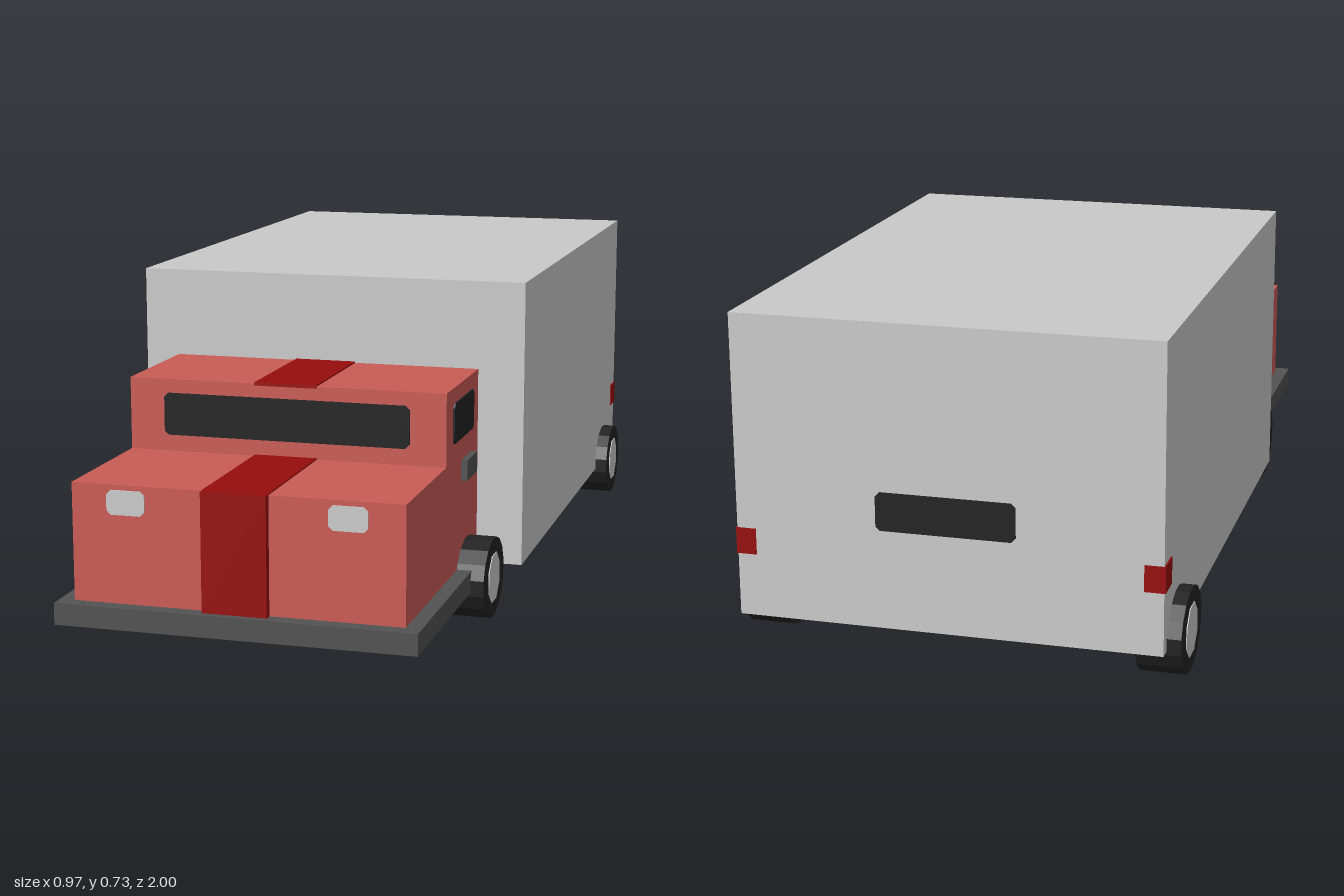
import * as THREE from 'three';

const mat = (name, color) => {
  const m = new THREE.MeshStandardMaterial({ color });
  m.name = name;
  return m;
};

export function createModel() {
  const red = mat('cab red', 0xc95b56);
  const darkRed = mat('stripe red', 0x960d0d);
  const light = mat('light grey', 0xc9c9c9);
  const grey = mat('dark grey', 0x525252);
  const black = mat('black', 0x222222);
  const blue = mat('blue', 0x3c72cb);

  const truck = new THREE.Group();
  truck.name = 'boxTruck';

  const add = (name, geometry, material, parent = truck) => {
    const m = new THREE.Mesh(geometry, material);
    m.name = name;
    parent.add(m);
    return m;
  };

  // Box given by its limits on each axis
  const box = (name, material, [x0, x1], [y0, y1], [z0, z1]) => {
    const m = add(name, new THREE.BoxGeometry(x1 - x0, y1 - y0, z1 - z0), material);
    m.position.set((x0 + x1) / 2, (y0 + y1) / 2, (z0 + z1) / 2);
    return m;
  };

  // Thin plate with chamfered corners, facing +z before rotation
  const plate = (name, material, w, h, depth = 0.006) => {
    const a = w / 2, b = h / 2, c = 0.009;
    const shape = new THREE.Shape([
      [-a + c, -b], [a - c, -b], [a, -b + c], [a, b - c],
      [a - c, b], [-a + c, b], [-a, b - c], [-a, -b + c],
    ].map(([x, y]) => new THREE.Vector2(x, y)));
    return add(name, new THREE.ExtrudeGeometry(shape, { depth, bevelEnabled: false }), material);
  };

  // Cargo body and the tray beneath it
  box('cargoBox', light, [-0.453, 0.453], [0.08, 0.732], [-1, 0.29]);
  box('underTray', blue, [-0.325, 0.325], [0.05, 0.082], [-0.91, 0.195]);

  // Running board, with hood and cabin as one stepped side profile
  box('runningBoard', grey, [-0.39, 0.39], [0.08, 0.127], [0.335, 1]);
  const profile = new THREE.Shape([
    [0.335, 0.079], [0.967, 0.079], [0.967, 0.38],
    [0.635, 0.38], [0.635, 0.54], [0.335, 0.54],
  ].map(([z, y]) => new THREE.Vector2(-z, y)));
  const cabGeo = new THREE.ExtrudeGeometry(profile, { depth: 0.714, bevelEnabled: false });
  cabGeo.translate(0, 0, -0.357).rotateY(Math.PI / 2);
  add('cab', cabGeo, red);

  // Stripe over grille, hood and roof
  box('grilleStripe', darkRed, [-0.07, 0.07], [0.127, 0.382], [0.96, 0.984]);
  box('hoodStripe', darkRed, [-0.07, 0.07], [0.376, 0.383], [0.635, 0.97]);
  box('roofStripe', darkRed, [-0.07, 0.07], [0.536, 0.543], [0.335, 0.637]);

  // Windows
  plate('windshield', black, 0.554, 0.093).position.set(0, 0.463, 0.634);
  const rear = plate('rearWindow', black, 0.296, 0.082);
  rear.rotation.y = Math.PI;
  rear.position.set(0, 0.335, -0.998);

  for (const s of [-1, 1]) {
    const side = s > 0 ? 'left' : 'right';
    const win = plate(side + 'Window', black, 0.186, 0.088);
    win.rotation.y = s * Math.PI / 2;
    win.position.set(s * 0.355, 0.462, 0.483);

    const handle = box(side + 'DoorHandle', grey, [-0.009, 0.009], [0.32, 0.366], [0.4, 0.495]);
    handle.position.x = s * 0.362;

    plate(side + 'Headlight', light, 0.083, 0.052).position.set(s * 0.238, 0.343, 0.965);

    const tail = box(side + 'TailLight', darkRed, [-0.022, 0.022], [0.215, 0.272], [-1, -0.94]);
    tail.position.x = s * 0.433;
    tail.position.x += s * 0.001;
    tail.position.z -= 0.0005;

    // Couplings between cab and cargo body
    const coupling = add(side + 'Coupling', new THREE.CylinderGeometry(1, 1, 0.06, 12).rotateX(Math.PI / 2), grey);
    coupling.scale.set(0.048, 0.033, 1);
    coupling.position.set(s * 0.197, 0.113, 0.312);
  }

  // Wheels: slightly stretched tyres with octagonal hubs
  const tyreGeo = new THREE.CylinderGeometry(1, 1, 0.095, 16).rotateZ(Math.PI / 2).rotateX(Math.PI / 16).toNonIndexed();
  tyreGeo.computeVertexNormals();
  const hubGeo = new THREE.CylinderGeometry(0.058, 0.058, 0.006, 8).rotateZ(Math.PI / 2).rotateX(Math.PI / 8);
  const wheels = [
    ['frontLeft', 1, 0.372, 0.435], ['frontRight', -1, 0.372, 0.435],
    ['rearLeft', 1, 0.4355, -0.818], ['rearRight', -1, 0.4355, -0.868],
  ];
  for (const [name, s, x, z] of wheels) {
    const wheel = new THREE.Group();
    wheel.name = name + 'Wheel';
    wheel.position.set(s * x, 0.089, z);
    add('tyre', tyreGeo, black, wheel).scale.set(1, 0.0905, 0.105);
    add('hub', hubGeo, light, wheel).position.x = s * 0.0465;
    truck.add(wheel);
  }

  return truck;
}
